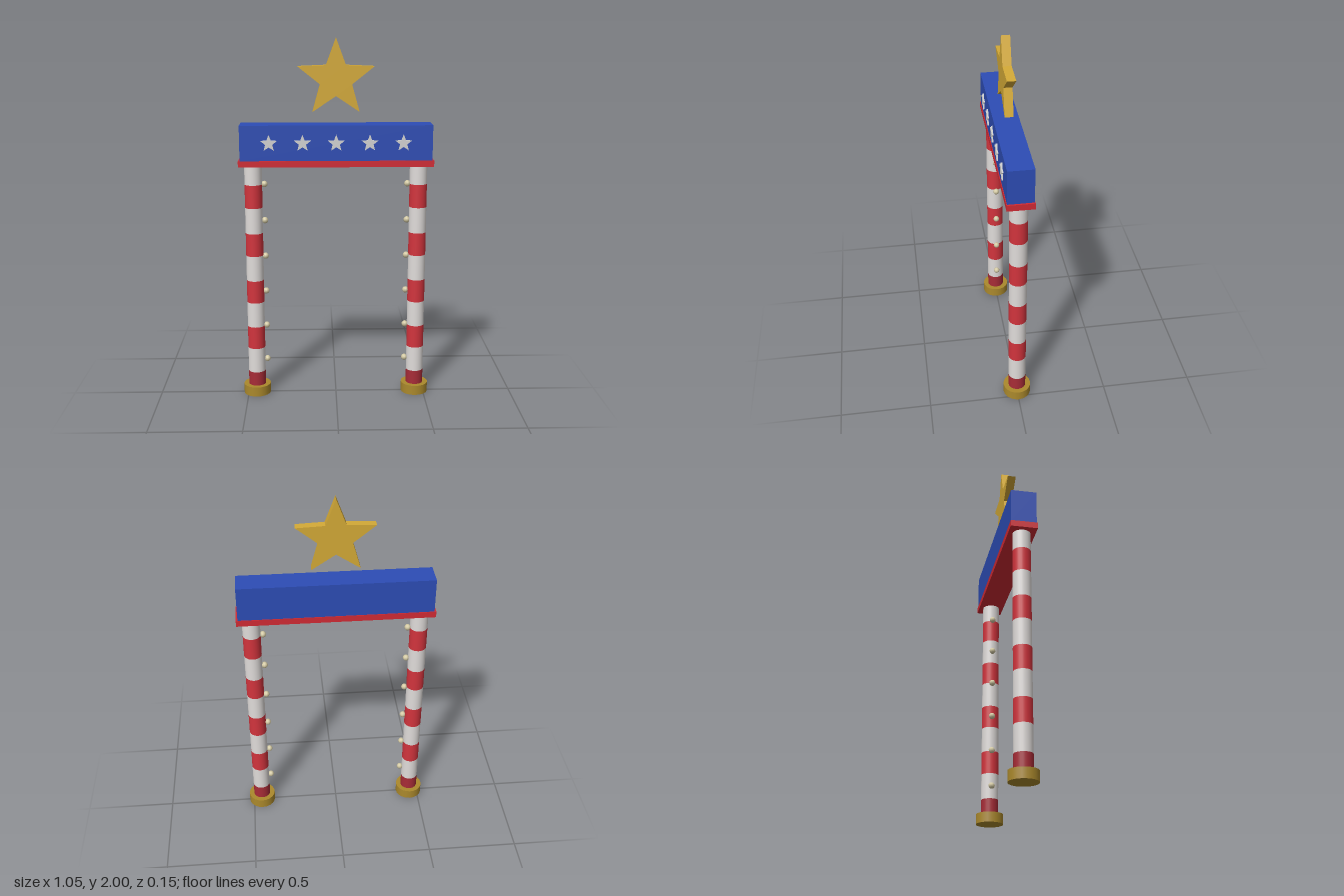
import * as THREE from 'three';

const mat = (name, color) => {
  const m = new THREE.MeshStandardMaterial({ color });
  m.name = name;
  return m;
};

// Five-pointed star plate, centred on its own origin
function starGeometry(outer, inner, depth) {
  const points = [];
  for (let i = 0; i < 10; i++) {
    const a = Math.PI / 2 + (i * Math.PI) / 5;
    const r = i % 2 ? inner : outer;
    points.push(new THREE.Vector2(r * Math.cos(a), r * Math.sin(a)));
  }
  const geo = new THREE.ExtrudeGeometry(new THREE.Shape(points), { depth, bevelEnabled: false });
  return geo.translate(0, 0, -depth / 2);
}

export function createModel() {
  const white = mat('white', 0xe0dcda);
  const red = mat('red', 0xd2343d);
  const darkRed = mat('dark red', 0xa82c37);
  const trimRed = mat('trim red', 0xd22a34);
  const blue = mat('blue', 0x2d4db5);
  const gold = mat('gold', 0xd4aa37);
  const darkGold = mat('dark gold', 0xab892c);
  const silver = mat('silver', 0xd4d4d4);
  const cream = mat('cream', 0xd4caa4);

  const model = new THREE.Group();
  model.name = 'archway';
  const add = (parent, name, geo, material, x, y, z) => {
    const mesh = new THREE.Mesh(geo, material);
    mesh.name = name;
    mesh.position.set(x, y, z);
    parent.add(mesh);
    return mesh;
  };

  // Striped posts with round feet and a row of bulbs on the inner side
  const stripeEdges = [0.055, 0.135, 0.277, 0.405, 0.547, 0.675, 0.817, 0.945, 1.088, 1.217, 1.325];
  const baseGeo = new THREE.CylinderGeometry(0.076, 0.076, 0.055, 20);
  const bulbGeo = new THREE.SphereGeometry(0.018, 8, 6);
  for (const side of [-1, 1]) {
    const post = new THREE.Group();
    post.name = side > 0 ? 'leftPost' : 'rightPost';
    post.position.x = side * 0.451;
    model.add(post);

    add(post, 'base', baseGeo, darkGold, 0, 0.0275, 0);
    for (let i = 0; i < stripeEdges.length - 1; i++) {
      const h = stripeEdges[i + 1] - stripeEdges[i];
      const stripe = new THREE.CylinderGeometry(0.048, 0.048, h, 24, 1, true);
      const material = i === 0 ? darkRed : i % 2 ? white : red;
      add(post, 'stripe', stripe, material, 0, stripeEdges[i] + h / 2, 0);
    }
    for (let i = 1; i <= 6; i++) add(post, 'bulb', bulbGeo, cream, -side * 0.06, i * 0.203, 0);
  }

  // Header beam on a red trim board
  add(model, 'trimBoard', new THREE.BoxGeometry(1.053, 0.034, 0.143), trimRed, 0, 1.338, 0);
  add(model, 'headerBeam', new THREE.BoxGeometry(1.034, 0.19, 0.136), blue, 0, 1.45, 0);

  // Row of small stars on the front of the beam
  const smallStar = starGeometry(0.047, 0.02, 0.009);
  for (let i = -2; i <= 2; i++) add(model, 'beamStar', smallStar, silver, i * 0.18, 1.45, 0.072);

  // Large star floating above
  add(model, 'topStar', starGeometry(0.2145, 0.09, 0.046), gold, 0, 1.7855, 0);

  return model;
}
